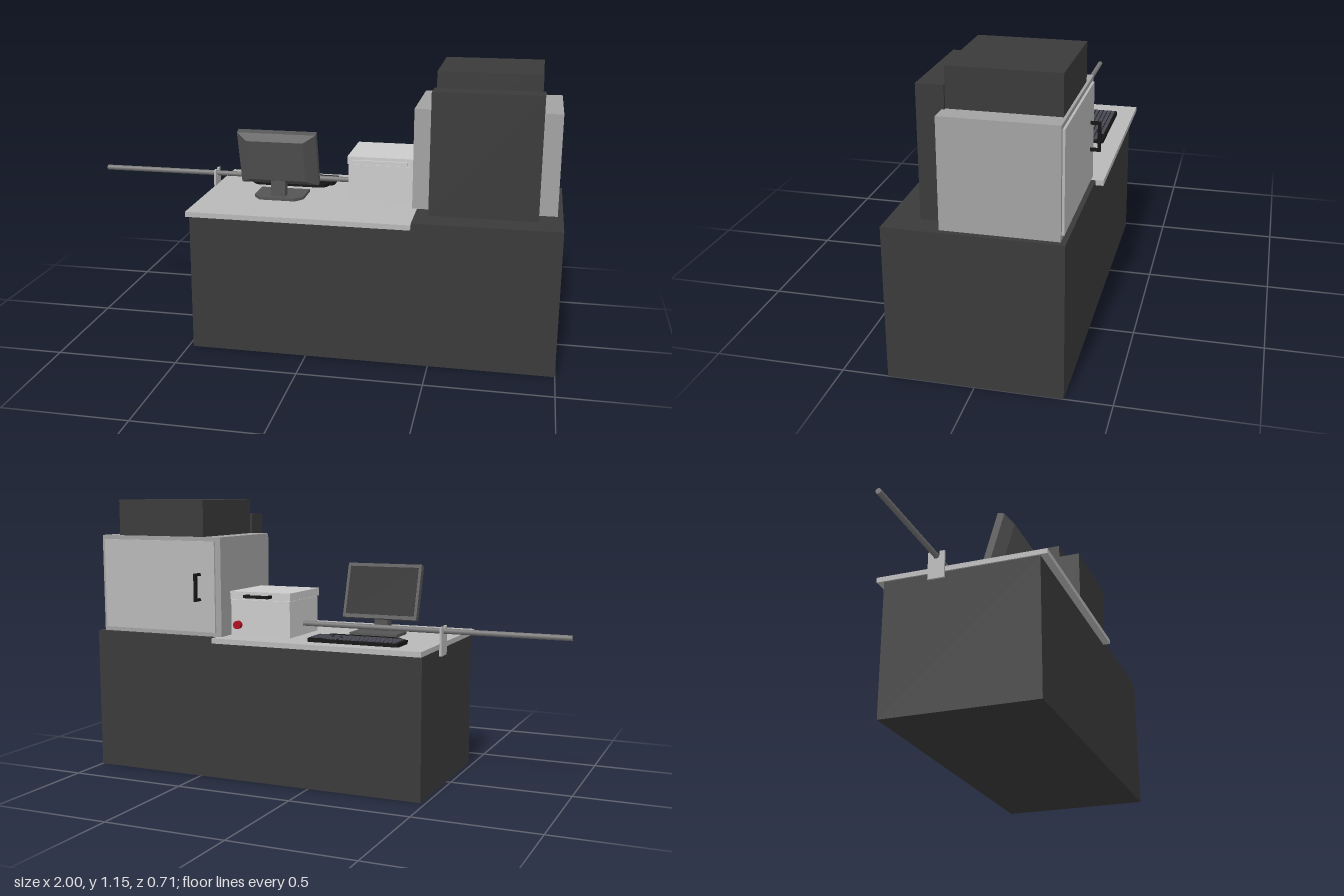
import * as THREE from 'three';
import { ConvexGeometry } from 'three/addons/geometries/ConvexGeometry.js';

const mat = (color) => new THREE.MeshStandardMaterial({ color });
const DARK = mat(0x3a3a3a), BLACK = mat(0x141414), TABLE = mat(0xb8b8b8), CABINET = mat(0xa2a2a2);
const LIGHT = mat(0xcccccc), STEEL = mat(0x777777), SHELL = mat(0x555555), KEY = mat(0x4a4a55), RED = mat(0xb01020);

function add(parent, name, geometry, material, x = 0, y = 0, z = 0) {
  const mesh = new THREE.Mesh(geometry, material);
  mesh.name = name;
  mesh.position.set(x, y, z);
  parent.add(mesh);
  return mesh;
}

// Box given by its limits on each axis
function block(parent, name, material, [x0, x1], [y0, y1], [z0, z1]) {
  return add(parent, name, new THREE.BoxGeometry(x1 - x0, y1 - y0, z1 - z0), material,
    (x0 + x1) / 2, (y0 + y1) / 2, (z0 + z1) / 2);
}

function group(parent, name) {
  const g = new THREE.Group();
  g.name = name;
  parent.add(g);
  return g;
}

function addDesk(root) {
  const g = group(root, 'desk');
  block(g, 'deskBody', DARK, [-0.48, 0.42], [0, 0.574], [-0.325, 0.325]);
  block(g, 'cabinetPlinth', DARK, [0.42, 1], [0, 0.594], [-0.325, 0.325]);
  block(g, 'tabletop', TABLE, [-0.487, 0.42], [0.574, 0.595], [-0.355, 0.355]);
}

function addCabinet(root) {
  const g = group(root, 'cabinet');
  block(g, 'cabinetBody', CABINET, [0.4, 0.978], [0.594, 1.005], [-0.305, 0.12]);
  block(g, 'cabinetDoor', TABLE, [0.425, 0.962], [0.612, 0.988], [-0.314, -0.3]);
  block(g, 'frontHousing', DARK, [0.475, 0.905], [0.594, 1.09], [0.11, 0.21]);
  block(g, 'topHousing', DARK, [0.485, 0.895], [1, 1.155], [-0.295, 0.11]);
  // Door handle
  block(g, 'doorHandleGrip', BLACK, [0.489, 0.501], [0.742, 0.857], [-0.354, -0.342]);
  for (const y of [0.742, 0.846])
    block(g, 'doorHandlePost', BLACK, [0.489, 0.501], [y, y + 0.011], [-0.342, -0.31]);
}

function addSampleBox(root) {
  const g = group(root, 'sampleBox');
  block(g, 'boxBody', LIGHT, [0.123, 0.395], [0.595, 0.745], [-0.23, 0.04]);
  block(g, 'boxLid', LIGHT, [0.118, 0.395], [0.747, 0.78], [-0.237, 0.045]);
  block(g, 'lidHinge', LIGHT, [0.142, 0.37], [0.752, 0.767], [0.045, 0.054]);
  // Lid handle
  block(g, 'lidHandleGrip', BLACK, [0.2, 0.315], [0.757, 0.769], [-0.273, -0.261]);
  for (const x of [0.2, 0.303])
    block(g, 'lidHandlePost', BLACK, [x, x + 0.012], [0.757, 0.769], [-0.261, -0.235]);
  const button = add(g, 'redButton', new THREE.CylinderGeometry(0.017, 0.017, 0.02, 24), RED, 0.36, 0.64, -0.24);
  button.rotation.x = Math.PI / 2;
}

function addRod(root) {
  const g = group(root, 'feedRod');
  const rod = add(g, 'rod', new THREE.CylinderGeometry(0.011, 0.011, 1.125, 20), STEEL, -0.4375, 0.643, -0.097);
  rod.rotation.z = Math.PI / 2;
  // Notched plate that carries the rod at the table edge
  const s = new THREE.Shape();
  s.moveTo(-0.035, 0.545);
  s.lineTo(0.035, 0.545);
  s.lineTo(0.035, 0.662);
  s.lineTo(0.013, 0.662);
  s.lineTo(0.013, 0.643);
  s.absarc(0, 0.643, 0.013, 0, -Math.PI, true);
  s.lineTo(-0.013, 0.662);
  s.lineTo(-0.035, 0.662);
  const plate = new THREE.ExtrudeGeometry(s, { depth: 0.009, bevelEnabled: false });
  plate.rotateY(Math.PI / 2);
  add(g, 'rodBracket', plate, TABLE, -0.494, 0, -0.097);
}

function addMonitor(root) {
  const g = group(root, 'monitor');
  g.position.set(-0.165, 0, 0);
  // Foot with narrower front corners
  const foot = new THREE.Shape([[-0.105, -0.04], [0.105, -0.04], [0.105, 0.08], [0.075, 0.12], [-0.075, 0.12], [-0.105, 0.08]]
    .map(([x, z]) => new THREE.Vector2(x, z)));
  const footGeo = new THREE.ExtrudeGeometry(foot, { depth: 0.012, bevelEnabled: false });
  footGeo.rotateX(Math.PI / 2);
  add(g, 'monitorFoot', footGeo, SHELL, 0, 0.607, 0);
  block(g, 'monitorNeck', SHELL, [-0.03, 0.03], [0.607, 0.7], [0.055, 0.1]);

  // Head leans back, screen towards -z
  const head = group(g, 'monitorHead');
  head.position.set(0, 0.662, 0.03);
  head.rotation.x = 0.29;
  block(head, 'monitorFrame', SHELL, [-0.165, 0.165], [0, 0.236], [0, 0.03]);
  block(head, 'screen', BLACK, [-0.153, 0.153], [0.016, 0.222], [-0.001, 0.01]);
  const corners = [];
  for (const [w, lo, hi, z] of [[0.165, 0, 0.236, 0.03], [0.118, 0.035, 0.216, 0.065]])
    for (const x of [-w, w]) for (const y of [lo, hi]) corners.push(new THREE.Vector3(x, y, z));
  add(head, 'monitorBack', new ConvexGeometry(corners), SHELL);
}

function addKeyboard(root) {
  const g = group(root, 'keyboard');
  g.position.set(-0.173, 0.595, -0.225);
  // Rounded tray with a palm rest
  const s = new THREE.Shape();
  s.moveTo(-0.18, -0.06);
  s.lineTo(0.18, -0.06);
  s.quadraticCurveTo(0.196, -0.06, 0.196, -0.044);
  s.lineTo(0.196, 0.045);
  s.quadraticCurveTo(0.195, 0.062, 0.175, 0.064);
  s.quadraticCurveTo(0.17, 0.108, 0.135, 0.11);
  s.lineTo(-0.13, 0.11);
  s.quadraticCurveTo(-0.15, 0.108, -0.172, 0.064);
  s.quadraticCurveTo(-0.196, 0.062, -0.196, 0.045);
  s.lineTo(-0.196, -0.044);
  s.quadraticCurveTo(-0.196, -0.06, -0.18, -0.06);
  const tray = new THREE.ExtrudeGeometry(s, { depth: 0.014, bevelEnabled: false });
  tray.rotateX(Math.PI / 2);
  add(g, 'keyboardTray', tray, BLACK, 0, 0.014, 0);

  // Key rows: main field, navigation block, number pad
  const key = (x, z, w) => block(g, 'key', KEY, [x + 0.002, x + w - 0.002], [0.012, 0.019], [z + 0.002, z + 0.015]);
  for (let row = 0; row < 6; row++) {
    const z = -0.052 + row * 0.0175;
    if (row === 5) {
      [0.03, 0.02, 0.02, 0.1, 0.02, 0.02, 0.035].reduce((x, w) => (key(x, z, w), x + w), -0.183);
    } else {
      const first = 0.0175 + (row % 3) * 0.004;
      key(-0.183, z, first);
      for (let i = 0; i < 12; i++) key(-0.183 + first + i * 0.0175, z, 0.0175);
      key(-0.183 + first + 0.21, z, 0.035 - first);
    }
    for (let i = 0; i < 3; i++)
      if (row !== 3 && !(row === 4 && i !== 1)) key(0.068 + i * 0.0165, z, 0.0165);
    if (row > 0) for (let i = 0; i < 4; i++) key(0.124 + i * 0.0165, z, 0.0165);
  }
}

export function createModel() {
  const root = new THREE.Group();
  root.name = 'workstation';
  [addDesk, addCabinet, addSampleBox, addRod, addMonitor, addKeyboard].forEach((build) => build(root));
  return root;
}
